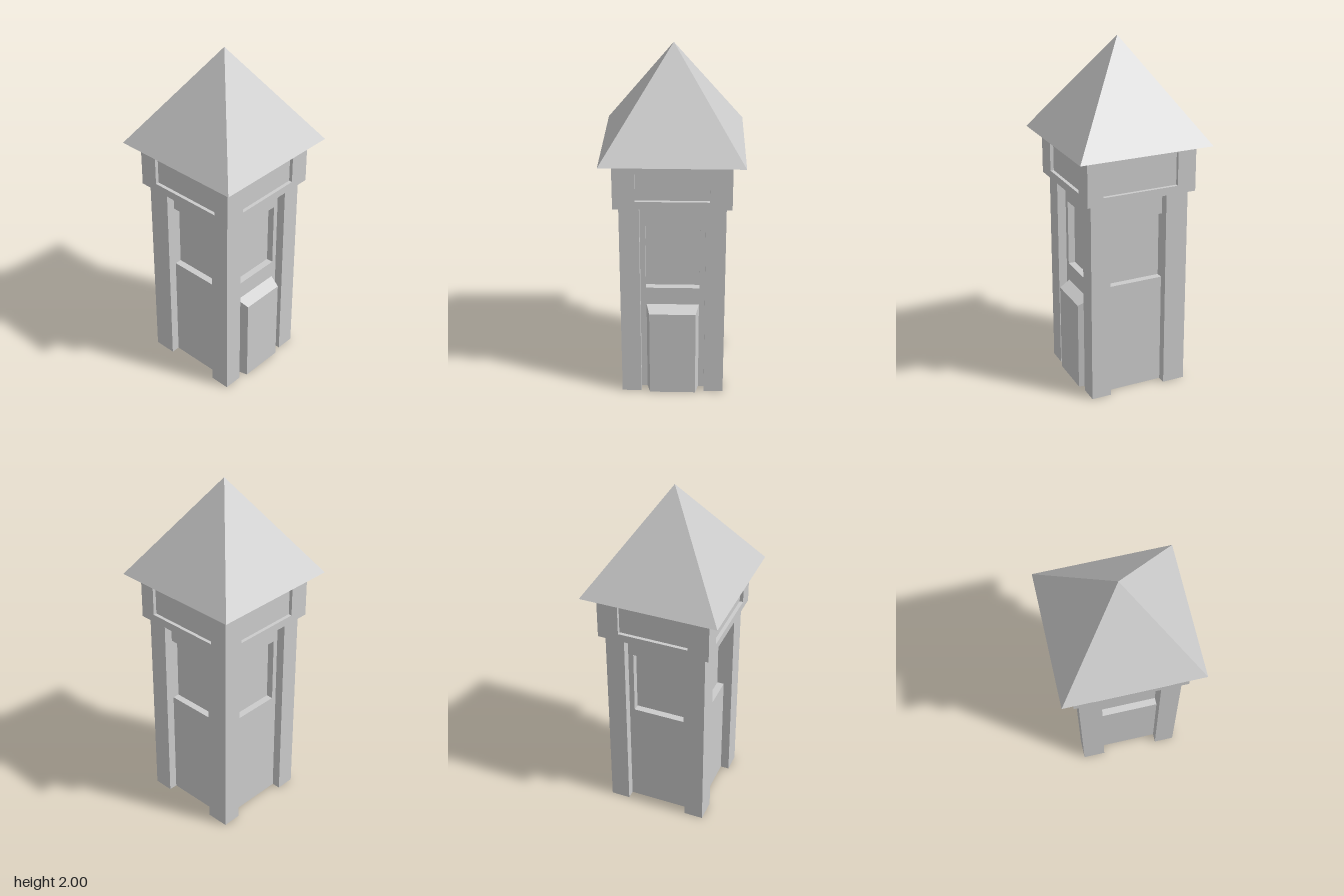
import * as THREE from 'three';

const material = new THREE.MeshStandardMaterial({ color: 0xcccccc, flatShading: true });

function add(parent, name, geometry) {
  const mesh = new THREE.Mesh(geometry, material);
  mesh.name = name;
  parent.add(mesh);
  return mesh;
}

// Box given by its minimum and maximum corners
function box(x0, x1, y0, y1, z0, z1) {
  return new THREE.BoxGeometry(x1 - x0, y1 - y0, z1 - z0)
    .translate((x0 + x1) / 2, (y0 + y1) / 2, (z0 + z1) / 2);
}

// Upright panel with a rectangular opening; each rectangle is [x0, x1, y0, y1]
function frame(outer, hole, z, depth) {
  const trace = (path, [x0, x1, y0, y1]) =>
    path.moveTo(x0, y0).lineTo(x1, y0).lineTo(x1, y1).lineTo(x0, y1).closePath();
  const shape = new THREE.Shape();
  trace(shape, outer);
  const opening = new THREE.Path();
  trace(opening, hole);
  shape.holes.push(opening);
  return new THREE.ExtrudeGeometry(shape, { depth, bevelEnabled: false }).translate(0, 0, z);
}

export function createModel() {
  const tower = new THREE.Group();
  tower.name = 'tower';

  // Shaft: inner core, its faces are the backs of the window recesses
  add(tower, 'shaftCore', box(-0.2, 0.2, 0, 1.18, -0.2, 0.2));

  // Front and back walls with a window recess
  for (const [name, turn] of [['frontWall', 0], ['backWall', Math.PI]]) {
    add(tower, name, frame([-0.2, 0.2, 0, 1.18], [-0.15, 0.15, 0.655, 1.04], 0.2, 0.04)).rotation.y = turn;
  }

  // Side walls, the window recess runs from post to post
  for (const [side, s] of [['left', 1], ['right', -1]]) {
    const x = [0.2 * s, 0.24 * s].sort((a, b) => a - b);
    add(tower, side + 'LowerWall', box(...x, 0, 0.655, -0.18, 0.19));
    add(tower, side + 'UpperWall', box(...x, 1.04, 1.18, -0.18, 0.19));
  }

  // Corner posts
  for (const s of [1, -1]) {
    const x = s > 0 ? [0.18, 0.29] : [-0.29, -0.18];
    add(tower, 'frontPost', box(...x, 0, 1.18, 0.175, 0.29));
    add(tower, 'backPost', box(...x, 0, 1.18, -0.29, -0.16));
  }

  // Door slab, its front face narrowed to slope the sides and top
  const door = box(-0.15, 0.15, 0, 0.555, 0.23, 0.305);
  const p = door.attributes.position;
  for (let i = 0; i < p.count; i++) {
    if (p.getZ(i) < 0.3) continue;
    p.setX(i, Math.sign(p.getX(i)) * 0.13);
    if (p.getY(i) > 0.3) p.setY(i, 0.52);
  }
  door.computeVertexNormals();
  add(tower, 'door', door);

  // Overhanging top storey with a sunken panel on each side
  add(tower, 'topStoreyCore', box(-0.3, 0.3, 1.175, 1.44, -0.3, 0.3));
  for (const turn of [0, Math.PI]) {
    add(tower, 'topStoreyFrame',
      frame([-0.32, 0.32, 1.175, 1.44], [-0.2, 0.2, 1.22, 1.41], 0.3, 0.02)).rotation.y = turn;
  }
  for (const s of [1, -1]) {
    const hole = s > 0 ? [-0.228, 0.212, 1.22, 1.41] : [-0.212, 0.228, 1.22, 1.41];
    add(tower, 'topStoreySideFrame',
      frame([-0.3, 0.3, 1.175, 1.44], hole, 0.3, 0.02)).rotation.y = s * Math.PI / 2;
  }

  // Pyramid roof
  add(tower, 'roof', new THREE.ConeGeometry(0.387 * Math.SQRT2, 0.56, 4)
    .rotateY(Math.PI / 4).translate(0, 1.72, 0));

  return tower;
}
